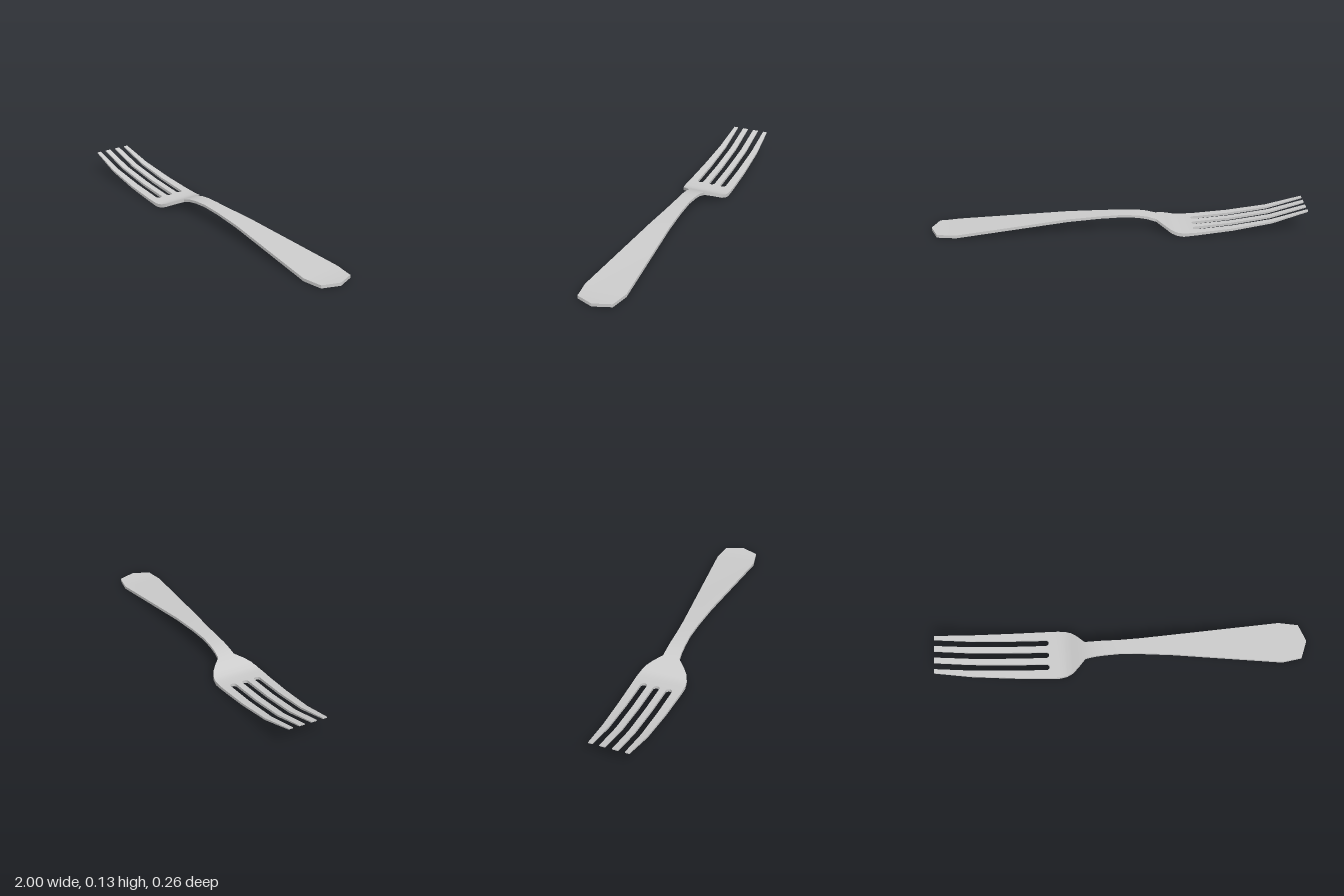
import * as THREE from 'three';
import { toCreasedNormals } from 'three/addons/utils/BufferGeometryUtils.js';

// Side profile: [x, top y, bottom y]
const PROFILE = [
  [-1, 0.127, 0.121], [-0.81, 0.074, 0.063], [-0.6, 0.041, 0.028], [-0.42, 0.023, 0.008],
  [-0.34, 0.019, 0], [-0.31, 0.022, 0.003], [-0.28, 0.031, 0.012], [-0.24, 0.05, 0.033],
  [-0.2, 0.067, 0.051], [-0.15, 0.081, 0.066], [-0.1, 0.088, 0.074], [-0.02, 0.091, 0.077],
  [0.1, 0.087, 0.073], [0.27, 0.078, 0.063], [0.86, 0.02, 0.004], [0.93, 0.018, 0.002], [1, 0.019, 0.002],
];
// Plan outline: [x, half width]
const OUTLINE = [
  [-1, 0.105], [-0.81, 0.117], [-0.6, 0.126], [-0.4, 0.132], [-0.34, 0.132], [-0.3, 0.125],
  [-0.27, 0.112], [-0.24, 0.087], [-0.2, 0.046], [-0.15, 0.042], [-0.02, 0.038], [0.1, 0.043],
  [0.27, 0.056], [0.86, 0.112], [0.965, 0.094], [1, 0.002],
];

// Piecewise linear lookup of one column of a table
function lookup(table, x, col = 1) {
  let i = 1;
  while (i < table.length - 1 && table[i][0] < x) i++;
  const a = table[i - 1], b = table[i];
  return THREE.MathUtils.lerp(a[col], b[col], (x - a[0]) / (b[0] - a[0]));
}

// Flat bar following the side profile; edges(x) gives its two z limits
function loftBar(name, xs, edges, material, capStart, capEnd) {
  const pos = [];
  const quad = (a, b, c, d) => pos.push(...a, ...b, ...c, ...a, ...c, ...d);
  const rings = xs.map((x) => {
    const [z0, z1] = edges(x);
    const top = lookup(PROFILE, x, 1), bottom = lookup(PROFILE, x, 2);
    return [[x, top, z0], [x, top, z1], [x, bottom, z1], [x, bottom, z0]];
  });
  for (let i = 0; i < rings.length - 1; i++) {
    const p = rings[i], q = rings[i + 1];
    for (let k = 0; k < 4; k++) {
      const n = (k + 1) % 4;
      quad(p[k], p[n], q[n], q[k]);
    }
  }
  if (capStart) quad(...[0, 3, 2, 1].map((k) => rings[0][k]));
  if (capEnd) quad(...rings[rings.length - 1]);
  const geometry = new THREE.BufferGeometry();
  geometry.setAttribute('position', new THREE.Float32BufferAttribute(pos, 3));
  const mesh = new THREE.Mesh(toCreasedNormals(geometry, 0.55), material);
  mesh.name = name;
  return mesh;
}

export function createModel() {
  const group = new THREE.Group();
  group.name = 'fork';
  const metal = new THREE.MeshStandardMaterial({ color: 0xcccccc });

  // Slots between tines, with round closed ends
  const root = -0.395, radius = 0.017;
  const slotHalf = (x) => {
    const d = Math.max(0, x - (root - radius));
    return Math.sqrt(Math.max(0, radius * radius - d * d));
  };
  const slotCentre = (x) => THREE.MathUtils.lerp(0.065, 0.069, (x + 1) / 0.6);

  // Four tines, mirrored in pairs
  const tineXs = [-1, -0.81, -0.6, -0.42];
  for (let i = 0; i <= 6; i++) tineXs.push(root - radius + radius * Math.sin((i / 6) * Math.PI / 2));
  const outer = (x) => [slotCentre(x) + slotHalf(x), lookup(OUTLINE, x)];
  const inner = (x) => [slotHalf(x), slotCentre(x) - slotHalf(x)];
  for (const [label, edges] of [['outerTine', outer], ['innerTine', inner]]) {
    group.add(loftBar(label + 'Front', tineXs, edges, metal, true, false));
    const mirrored = (x) => edges(x).map((z) => -z).reverse();
    group.add(loftBar(label + 'Back', tineXs, mirrored, metal, true, false));
  }

  // Palm, neck and handle in one continuous bar
  const stations = [...PROFILE, ...OUTLINE].map((p) => p[0]).filter((x) => x > root);
  const bodyXs = [root, ...new Set(stations)].sort((a, b) => a - b);
  const body = (x) => [-lookup(OUTLINE, x), lookup(OUTLINE, x)];
  group.add(loftBar('palmAndHandle', bodyXs, body, metal, true, true));

  return group;
}
